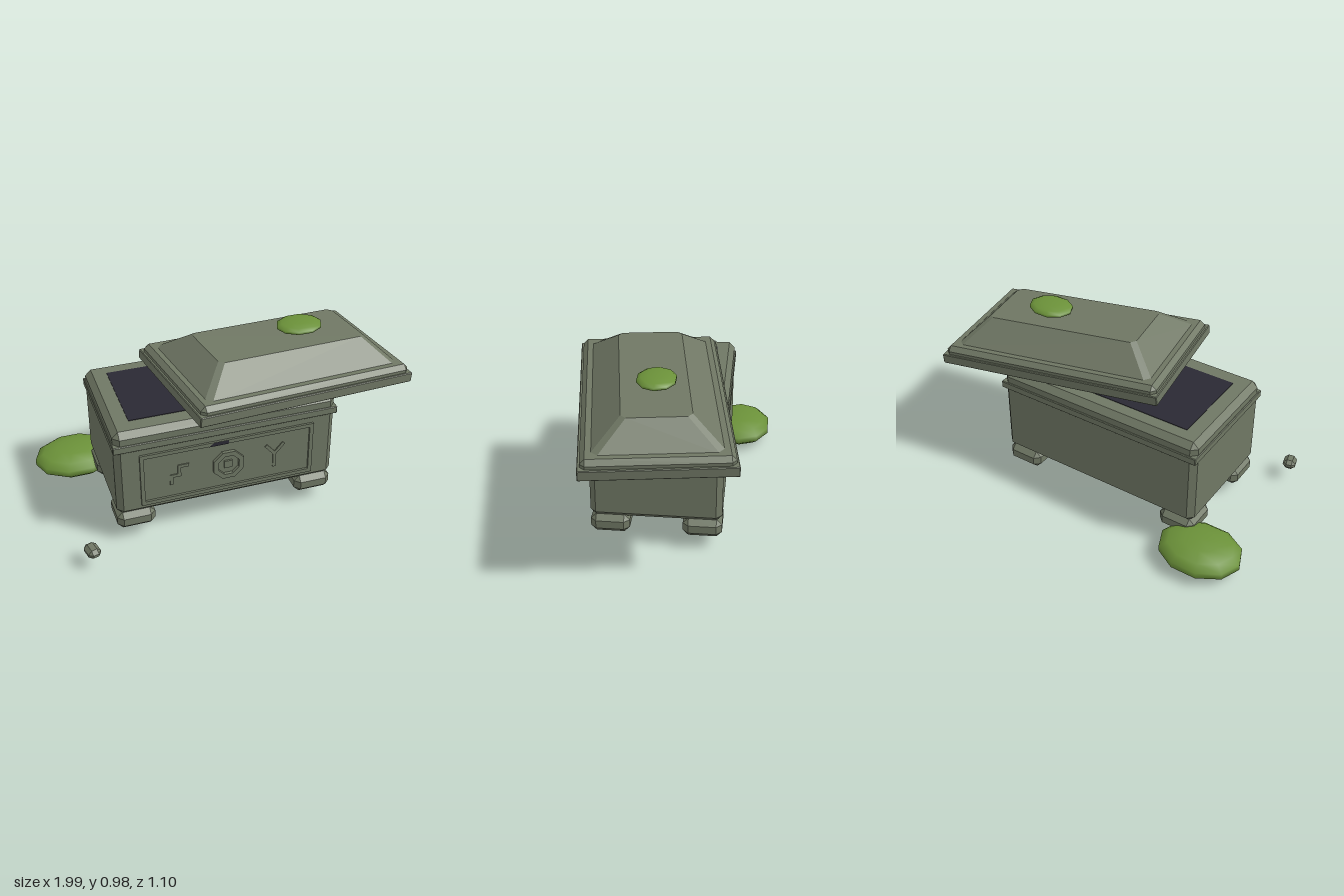
import * as THREE from 'three';
import { ConvexGeometry } from 'three/addons/geometries/ConvexGeometry.js';

const stone = new THREE.MeshStandardMaterial({ color: 0x6f7764 });
stone.name = 'weathered stone';
const moss = new THREE.MeshStandardMaterial({ color: 0x6b9139 });
moss.name = 'moss green';
const dark = new THREE.MeshStandardMaterial({ color: 0x2a2933, side: THREE.DoubleSide });
dark.name = 'dark interior';

// Box with every edge cut at 45 degrees
function chamferBox(w, h, d, c) {
  const pts = [];
  for (const x of [-1, 1]) for (const y of [-1, 1]) for (const z of [-1, 1]) {
    for (let axis = 0; axis < 3; axis++) {
      const cut = [c, c, c];
      cut[axis] = 0;
      pts.push(new THREE.Vector3(x * (w / 2 - cut[0]), y * (h / 2 - cut[1]), z * (d / 2 - cut[2])));
    }
  }
  return new ConvexGeometry(pts);
}

// Rectangle with cut corners, as points at height y
function cutRect(w, d, c, y) {
  const pts = [];
  for (const x of [-1, 1]) for (const z of [-1, 1]) {
    pts.push(new THREE.Vector3(x * (w / 2 - c), y, z * d / 2), new THREE.Vector3(x * w / 2, y, z * (d / 2 - c)));
  }
  return pts;
}

function add(parent, name, geometry, material, x = 0, y = 0, z = 0) {
  const mesh = new THREE.Mesh(geometry, material);
  mesh.name = name;
  mesh.position.set(x, y, z);
  parent.add(mesh);
  return mesh;
}

const shapeOf = (pts) => new THREE.Shape(pts.map(([x, y]) => new THREE.Vector2(x, y)));
const rect = (w, h) => [[-w / 2, -h / 2], [w / 2, -h / 2], [w / 2, h / 2], [-w / 2, h / 2]];
const octagon = (r) => Array.from({ length: 8 }, (_, i) => {
  const a = (i + 0.5) * Math.PI / 4;
  return [r * Math.cos(a), r * Math.sin(a)];
});

// Flat outline with a hole, extruded toward the front
function frame(outer, inner, depth) {
  const shape = shapeOf(outer);
  shape.holes.push(shapeOf(inner));
  return new THREE.ExtrudeGeometry(shape, { depth, bevelEnabled: false });
}

// Raised straight strokes joining points
function strokes(parent, name, segments, x, y, z) {
  const group = new THREE.Group();
  group.name = name;
  group.position.set(x, y, z);
  for (const [x1, y1, x2, y2] of segments) {
    const length = Math.hypot(x2 - x1, y2 - y1) + 0.018;
    const bar = add(group, 'stroke', new THREE.BoxGeometry(length, 0.018, 0.012), stone, (x1 + x2) / 2, (y1 + y2) / 2, 0);
    bar.rotation.z = Math.atan2(y2 - y1, x2 - x1);
  }
  parent.add(group);
}

function buildChest() {
  const chest = new THREE.Group();
  chest.name = 'chest';
  chest.position.set(-0.072, 0, 0.025);

  add(chest, 'body', chamferBox(1.215, 0.52, 0.696, 0.032), stone, 0, 0.43, 0);
  add(chest, 'rimBand', chamferBox(1.228, 0.042, 0.712, 0.004), stone, 0, 0.6, 0);
  add(chest, 'opening', new THREE.BoxGeometry(1.0, 0.006, 0.486), dark, 0, 0.69, -0.007);

  // Four block feet
  for (const x of [-1, 1]) for (const z of [-1, 1]) {
    add(chest, 'foot', chamferBox(0.208, 0.104, 0.208, 0.03), stone, x * 0.504, 0.123, z * 0.244);
  }

  // Carved front panel
  const face = 0.348;
  add(chest, 'panelFrame', frame(rect(0.96, 0.32), rect(0.918, 0.276), 0.012), stone, 0, 0.384, face);
  add(chest, 'medallionRing', frame(octagon(0.09), octagon(0.062), 0.018), stone, 0, 0.384, face);
  add(chest, 'medallionCentre', new THREE.BoxGeometry(0.044, 0.044, 0.02), stone, 0, 0.384, face);
  strokes(chest, 'stepCarving', [
    [-0.045, -0.055, -0.045, -0.01], [-0.045, -0.01, -0.002, -0.01],
    [-0.002, -0.01, -0.002, 0.045], [-0.002, 0.045, 0.042, 0.045],
  ], -0.267, 0.384, face);
  strokes(chest, 'forkCarving', [
    [-0.045, 0.06, 0, 0.008], [0.045, 0.06, 0, 0.008], [0, 0.008, 0, -0.07],
  ], 0.263, 0.384, face);
  add(chest, 'crack', new THREE.ShapeGeometry(shapeOf([[-0.11, 0], [0, 0], [0, 0.022], [-0.08, 0.022]])), dark, 0, 0.521, face + 0.0135);
  return chest;
}

function buildLid() {
  const lid = new THREE.Group();
  lid.name = 'lid';
  lid.position.set(0.302, 0.688, 0.059);
  lid.rotation.set(0, 0.154, -0.075);
  add(lid, 'lidSlab', chamferBox(1.258, 0.12, 0.738, 0.025), stone, 0, 0.06, 0);
  add(lid, 'lidBand', chamferBox(1.285, 0.055, 0.763, 0.004), stone, 0, 0.05, 0);
  // Hipped roof with cut hips
  const roof = [...cutRect(1.16, 0.64, 0.03, 0.115), ...cutRect(0.88, 0.345, 0.025, 0.238)];
  add(lid, 'lidRoof', new ConvexGeometry(roof), stone);
  return lid;
}

export function createModel() {
  const model = new THREE.Group();
  model.name = 'stoneChest';
  model.add(buildChest(), buildLid());

  // Moss cushions
  const cushion = new THREE.SphereGeometry(1, 10, 7);
  add(model, 'groundMoss', cushion, moss, -0.765, 0.078, -0.37).scale.set(0.237, 0.078, 0.19);
  add(model, 'lidMoss', cushion, moss, 0.45, 0.948, 0.024).scale.set(0.13, 0.03, 0.105);

  // Loose chip of stone
  const pebble = add(model, 'pebble', chamferBox(0.07, 0.056, 0.095, 0.02), stone, -0.854, 0.104, 0.507);
  pebble.rotation.set(0.08, 0.25, 0.05);
  return model;
}
